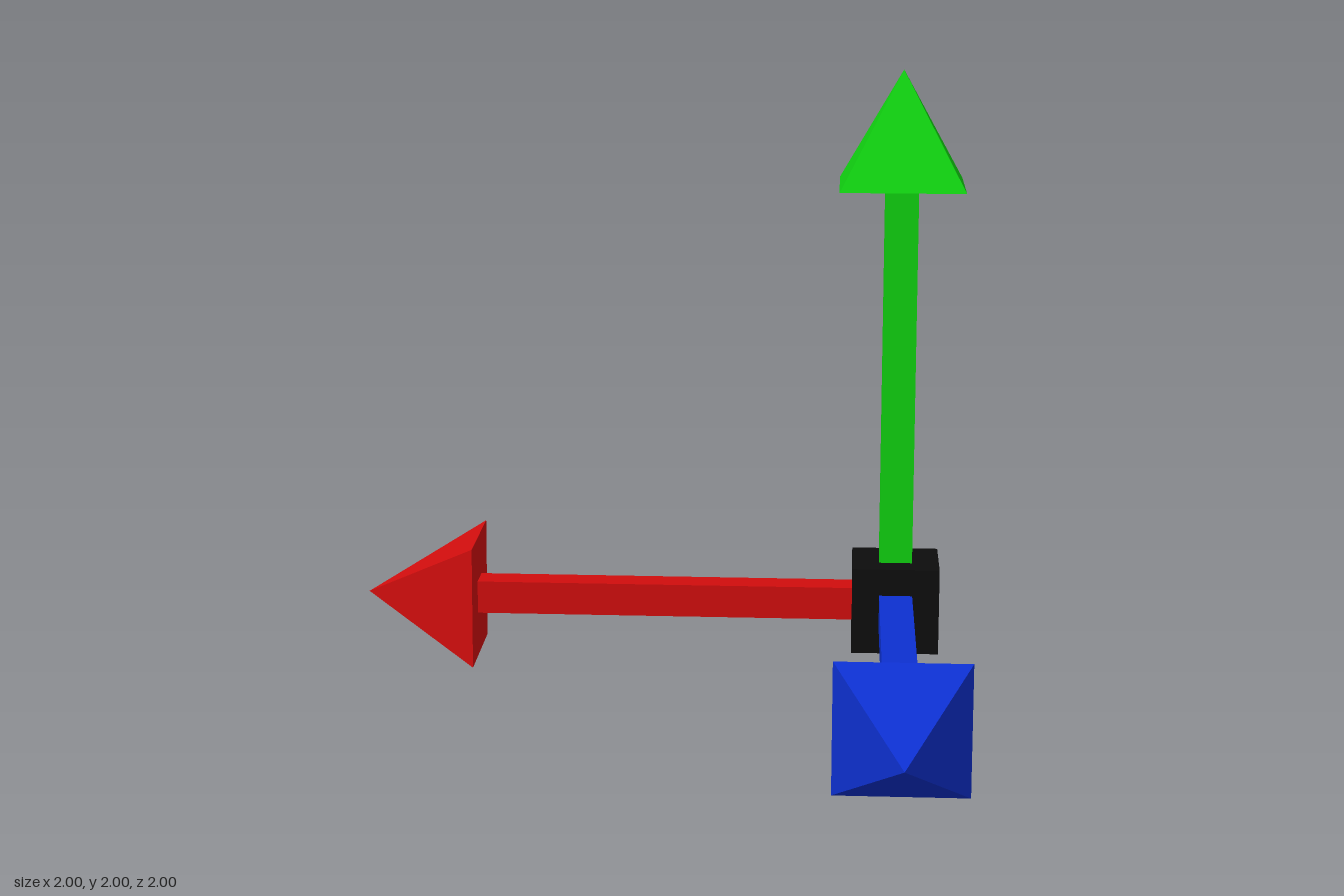
import * as THREE from 'three';

const CUBE = 0.29, SHAFT = 0.11, HEAD = 0.41, HEAD_LENGTH = 0.38, REACH = 1.795;

const material = (name, color) => {
  const m = new THREE.MeshStandardMaterial({ color });
  m.name = name;
  return m;
};

// Square shaft with a four-sided pyramid tip, pointing along +y from the origin
function createArrow(name, mat) {
  const arrow = new THREE.Group();
  arrow.name = name;

  const start = CUBE / 2 - 0.01, end = REACH - HEAD_LENGTH;
  const shaft = new THREE.Mesh(new THREE.BoxGeometry(SHAFT, end - start, SHAFT), mat);
  shaft.name = name + 'Shaft';
  shaft.position.y = (start + end) / 2;

  const cone = new THREE.ConeGeometry(HEAD / Math.SQRT2, HEAD_LENGTH, 4).rotateY(Math.PI / 4).toNonIndexed();
  cone.computeVertexNormals();
  const head = new THREE.Mesh(cone, mat);
  head.name = name + 'Head';
  head.position.y = end + HEAD_LENGTH / 2;

  arrow.add(shaft, head);
  return arrow;
}

export function createModel() {
  const model = new THREE.Group();
  model.name = 'axisArrows';

  // Everything meets at the corner cube
  const origin = new THREE.Group();
  origin.name = 'corner';
  origin.position.set(0.795, 0.205, -0.795);
  model.add(origin);

  const cube = new THREE.Mesh(new THREE.BoxGeometry(CUBE, CUBE, CUBE), material('black', 0x0d0d0d));
  cube.name = 'cornerCube';

  const up = createArrow('upArrow', material('green', 0x10d010));
  const side = createArrow('sideArrow', material('red', 0xd00d0d));
  side.rotation.z = Math.PI / 2; // towards -x
  const front = createArrow('frontArrow', material('blue', 0x0d30d0));
  front.rotation.x = Math.PI / 2; // towards +z

  origin.add(cube, up, side, front);
  return model;
}
